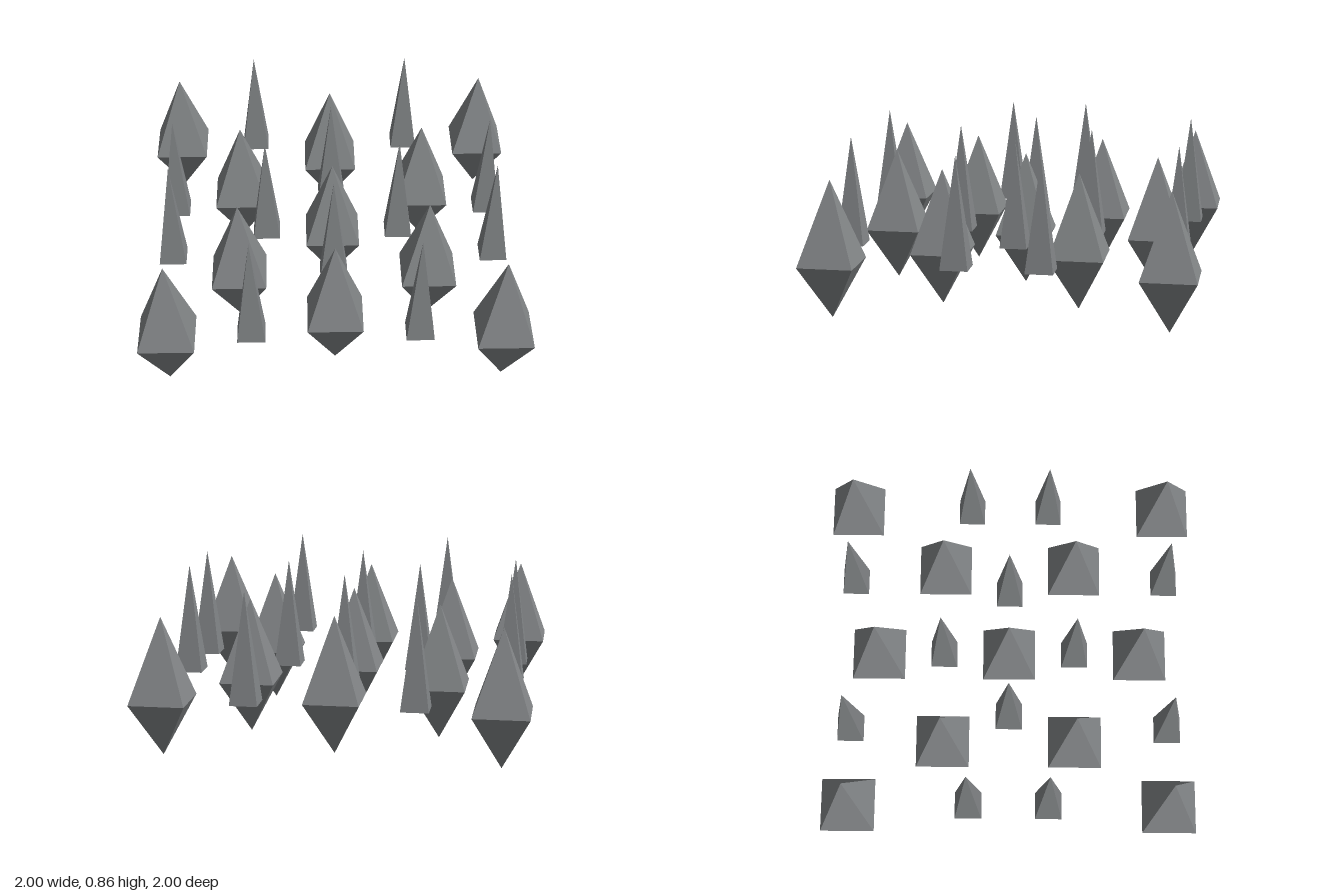
import * as THREE from 'three';
import { mergeGeometries } from 'three/addons/utils/BufferGeometryUtils.js';

const U = 1 / 7; // module of the layout grid
const WAIST = 2 * U; // height of every widest section

// Four-sided pyramid with its base on the waist plane; a negative height points down
function pyramid(half, height, open) {
  const g = new THREE.ConeGeometry(half * Math.SQRT2, Math.abs(height), 4, 1, open, Math.PI / 4);
  if (height < 0) g.rotateX(Math.PI);
  return g.translate(0, WAIST + height / 2, 0);
}

// All sign combinations of a position, without duplicates
function mirrored([x, z]) {
  const xs = x ? [x, -x] : [0];
  const zs = z ? [z, -z] : [0];
  return xs.flatMap((px) => zs.map((pz) => [px * U, pz * U]));
}

export function createModel() {
  const group = new THREE.Group();
  const material = new THREE.MeshStandardMaterial({ color: 0x838688, flatShading: true });

  const scatter = (name, geometry, places) => {
    places.flatMap(mirrored).forEach(([x, z], i) => {
      const mesh = new THREE.Mesh(geometry, material);
      mesh.name = `${name}${i + 1}`;
      mesh.position.set(x, 0, z);
      group.add(mesh);
    });
  };

  // Wide crystals: tall pyramid above, shorter one below
  const crystal = mergeGeometries([pyramid(U, 3 * U, true), pyramid(U, -2 * U, true)]);
  scatter('crystal', crystal, [[0, 0], [0, 5], [3.5, 2.5], [6, 6]]);

  // Slim floating spikes with flat bases
  const spike = pyramid(U / 2, 4 * U, false);
  scatter('spike', spike, [[0, 2.5], [2.5, 0], [6, 1.5], [3, 6]]);

  return group;
}
